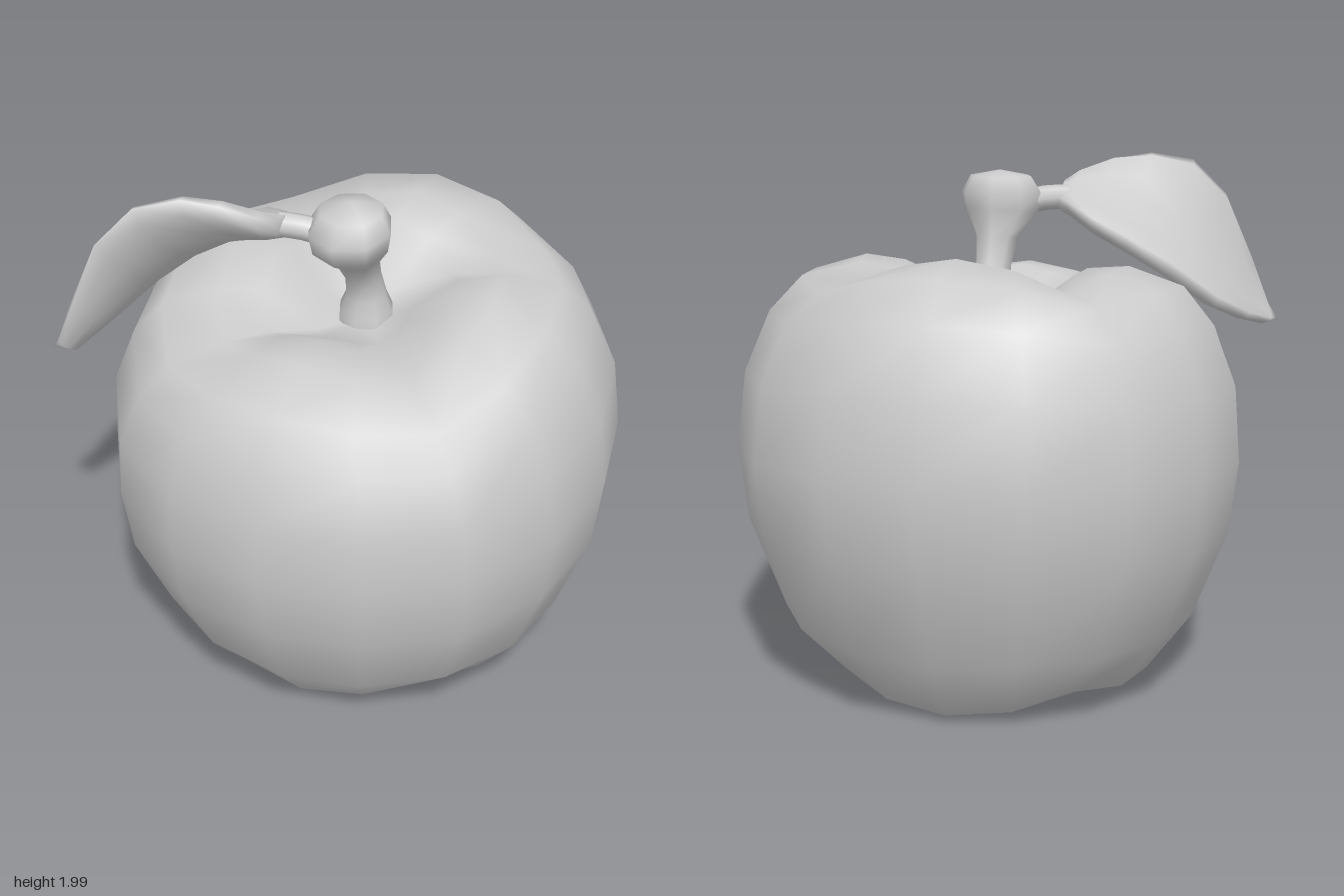
import * as THREE from 'three';
import { mergeVertices } from 'three/addons/utils/BufferGeometryUtils.js';

const material = new THREE.MeshStandardMaterial({ color: 0xcccccc });

// Skin closed rings of points into one smooth surface
function loft(rings) {
  const n = rings[0].length;
  const index = [];
  for (let i = 0; i < rings.length - 1; i++) {
    for (let j = 0; j < n; j++) {
      const k = (j + 1) % n;
      const a = i * n + j, c = i * n + k;
      index.push(a, a + n, c, c, a + n, c + n);
    }
  }
  const geometry = new THREE.BufferGeometry().setFromPoints(rings.flat());
  geometry.setIndex(index);
  const merged = mergeVertices(geometry);
  merged.computeVertexNormals();
  return merged;
}

// n points, each made from an angle
function ring(n, point) {
  return Array.from({ length: n }, (_, j) => point((j / n) * Math.PI * 2));
}

function add(group, name, geometry) {
  const mesh = new THREE.Mesh(geometry, material);
  mesh.name = name;
  group.add(mesh);
  return mesh;
}

// Fruit: a turned profile with four lobes, its upper half leaning to the front
function fruitGeometry() {
  // radius, height, height change in the creases between lobes
  const profile = [
    [0, 0.2, 0], [0.13, 0.17, 0.02], [0.32, 0.05, 0.08], [0.5, 0.015, 0.1],
    [0.625, 0.045, 0.07], [0.8, 0.28, 0.01], [0.93, 0.62, 0], [0.965, 0.9, 0],
    [0.94, 1.18, -0.02], [0.85, 1.41, -0.05], [0.73, 1.55, -0.08], [0.52, 1.615, -0.11],
    [0.36, 1.6, -0.11], [0.18, 1.45, -0.02], [0, 1.41, 0],
  ];
  return loft(profile.map(([r, y, crease]) => ring(16, (t) => {
    const valley = 1 - Math.abs(Math.cos(2 * t));
    const swell = r * (1 + 0.02 * valley);
    const z = 1.012 * swell * Math.sin(t);
    return new THREE.Vector3(
      0.02 + swell * Math.cos(t),
      y + crease * valley + z * (0.03 - 0.125 * y),
      z + 0.09 * Math.max(0, y - 0.9));
  })));
}

// Stem: flared foot, thin neck and a blunt knob, leaning forward
function stemGeometry() {
  // height, z, radius, tilt
  const sections = [
    [1.38, 0.02, 0.11, 0], [1.45, 0.02, 0.105, 0], [1.51, 0.02, 0.08, 0], [1.6, 0.045, 0.07, 0],
    [1.7, 0.1, 0.085, 0.1], [1.79, 0.16, 0.145, 0.15], [1.86, 0.165, 0.158, 0.1],
    [1.925, 0.155, 0.12, 0.05], [1.95, 0.14, 0, 0],
  ];
  return loft(sections.map(([y, z, r, tilt]) => ring(8, (t) => new THREE.Vector3(
    0.025 + r * Math.cos(t), y - tilt * r * Math.sin(t), z + r * Math.sin(t)))));
}

// Leaf: cupped, thick-rimmed sections between a low back edge and a high front edge
function leafGeometry() {
  // back edge xyz, front edge xyz, half thickness
  const sections = [
    [-0.205, 1.81, 0.16, -0.205, 1.89, 0.27, 0.04],
    [-0.25, 1.81, 0.11, -0.25, 1.92, 0.34, 0.05],
    [-0.36, 1.76, 0.02, -0.37, 1.975, 0.41, 0.055],
    [-0.5, 1.69, 0, -0.5, 1.995, 0.455, 0.055],
    [-0.66, 1.595, 0.02, -0.65, 1.965, 0.53, 0.055],
    [-0.82, 1.47, 0.1, -0.77, 1.83, 0.6, 0.05],
    [-0.91, 1.39, 0.3, -0.86, 1.58, 0.64, 0.045],
    [-0.965, 1.34, 0.51, -0.93, 1.39, 0.625, 0.035],
  ].map(([a, b, c, d, e, f, thick]) => ({
    back: new THREE.Vector3(a, b, c), front: new THREE.Vector3(d, e, f), thick,
  }));
  const middles = sections.map((s) => s.back.clone().add(s.front).multiplyScalar(0.5));
  const rings = sections.map(({ back, front, thick }, i) => {
    const half = front.clone().sub(back).multiplyScalar(0.5);
    const axis = middles[Math.min(i + 1, middles.length - 1)].clone().sub(middles[Math.max(i - 1, 0)]);
    const under = half.clone().cross(axis).normalize();
    const cup = 0.24 * half.length();
    return ring(12, (t) => {
      const s = Math.sin(t);
      return middles[i].clone()
        .addScaledVector(half, Math.cos(t))
        .addScaledVector(under, thick * Math.sign(s) * Math.abs(s) ** 0.6 + cup * s * s);
    });
  });
  const root = new THREE.Vector3(-0.19, 1.85, 0.21);
  const tip = new THREE.Vector3(-0.995, 1.34, 0.58);
  return loft([ring(12, () => root.clone()), ...rings, ring(12, () => tip.clone())]);
}

export function createModel() {
  const group = new THREE.Group();
  group.name = 'apple';

  add(group, 'fruit', fruitGeometry());
  add(group, 'stem', stemGeometry());
  add(group, 'leaf', leafGeometry());

  // Leaf stalk
  const stalk = new THREE.CatmullRomCurve3([
    new THREE.Vector3(-0.05, 1.82, 0.18),
    new THREE.Vector3(-0.14, 1.84, 0.2),
    new THREE.Vector3(-0.23, 1.845, 0.22),
  ]);
  add(group, 'leafStalk', new THREE.TubeGeometry(stalk, 4, 0.047, 8));

  // Dried flower points in the hollow underneath
  const calyx = new THREE.Group();
  calyx.name = 'calyx';
  calyx.position.set(0.02, 0.18, 0);
  for (let i = 0; i < 5; i++) {
    const pivot = new THREE.Group();
    pivot.rotation.y = (i / 5) * Math.PI * 2;
    const sepal = add(pivot, 'sepal', new THREE.ConeGeometry(0.05, 0.13, 6));
    sepal.position.set(0.065, -0.04, 0);
    sepal.rotation.z = Math.PI + 0.7;
    calyx.add(pivot);
  }
  group.add(calyx);

  return group;
}
